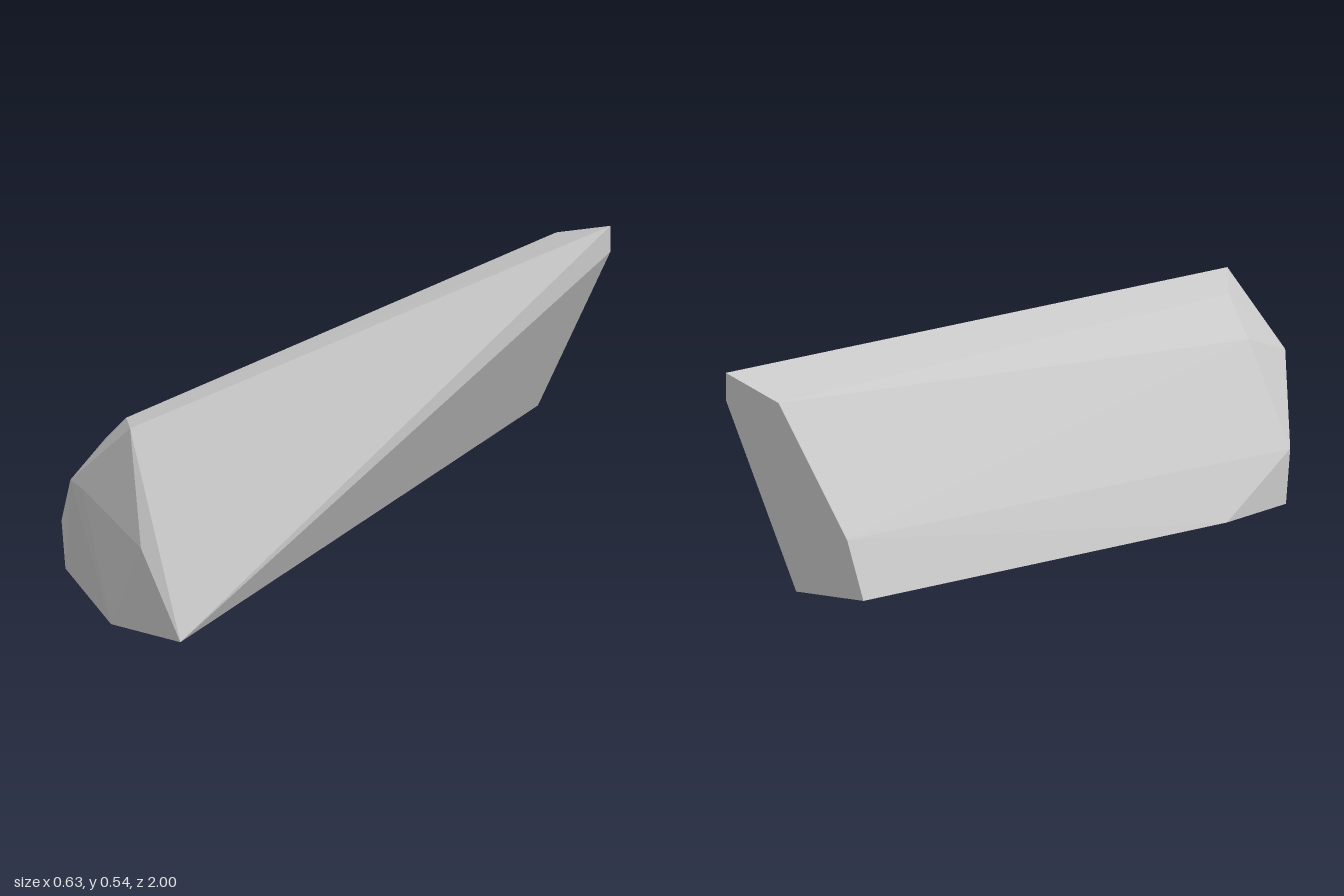
import * as THREE from 'three';
import { ConvexGeometry } from 'three/addons/geometries/ConvexGeometry.js';

export function createModel() {
  const stone = new THREE.MeshStandardMaterial({ color: 0xc8c8c8 });
  stone.name = 'stoneGrey';

  // Flat rear cut
  const rear = [
    [0.147, 0.54, -1], [0.147, 0.47, -1], [-0.09, 0, -1],
    [-0.316, 0.003, -1], [-0.261, 0.155, -1], [-0.03, 0.483, -1],
  ];
  // Outline of the base towards the front
  const base = [
    [0.316, 0, 0.98], [0.095, 0.002, 0.987], [-0.258, 0.003, 0.73], [-0.316, 0.004, 0.43],
  ];
  // Chipped front end
  const nose = [
    [0.14, 0.537, 0.965], [0.203, 0.235, 1], [0, 0.348, 0.985], [-0.063, 0.35, 0.955],
    [0.02, 0.502, 0.83], [-0.093, 0.404, 0.775], [-0.251, 0.142, 0.755],
  ];

  // Faceted convex rock wrapped round the corner points
  const points = [...rear, ...base, ...nose].map((p) => new THREE.Vector3(...p));
  const rock = new THREE.Mesh(new ConvexGeometry(points), stone);
  rock.name = 'rock';

  const group = new THREE.Group();
  group.name = 'longRock';
  group.add(rock);
  return group;
}
